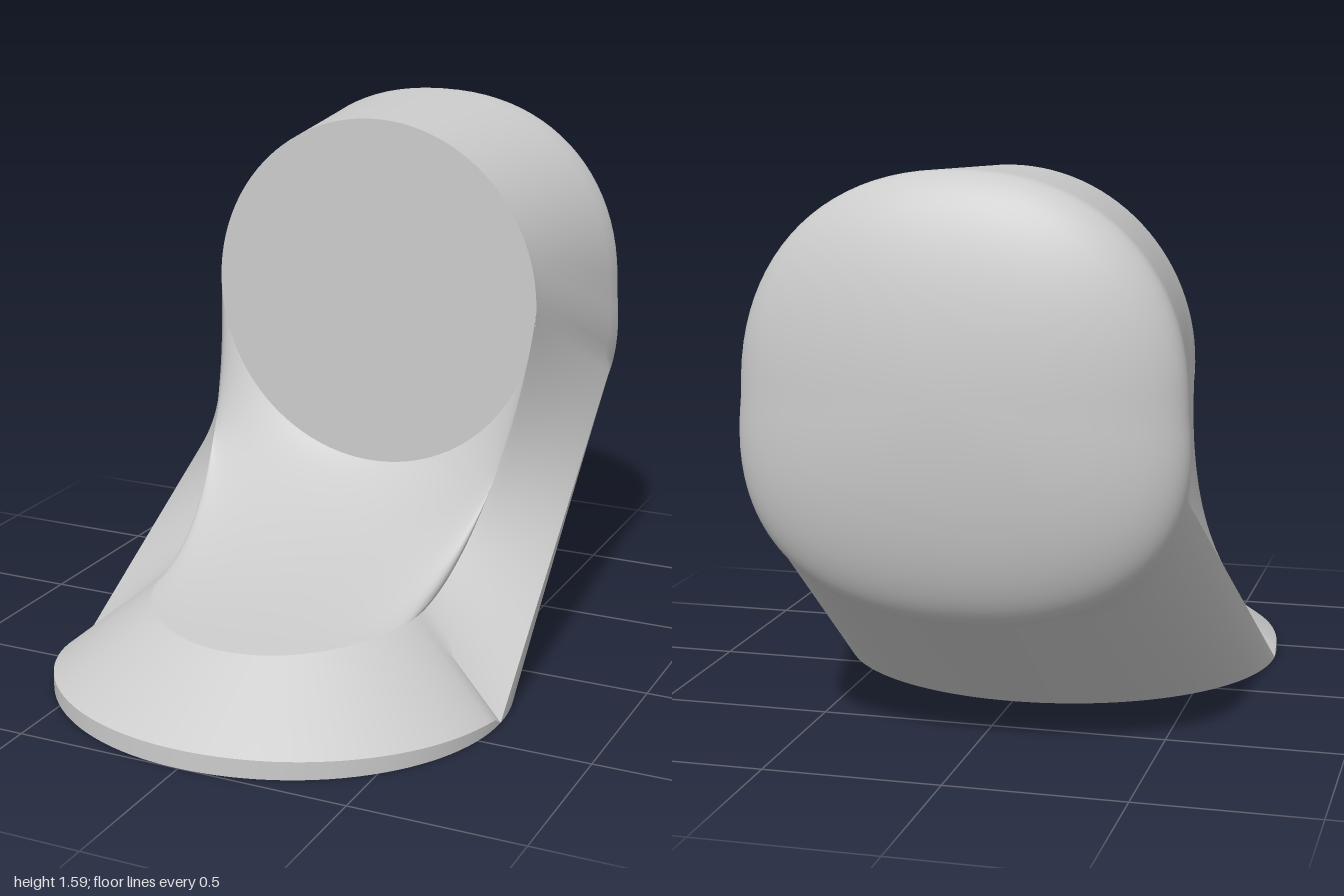
import * as THREE from 'three';
import { mergeGeometries, mergeVertices, toCreasedNormals } from 'three/addons/utils/BufferGeometryUtils.js';

const V = (x, y, z) => new THREE.Vector3(x, y, z);
const N = 28;
const HALF = Math.PI / 2;
const SIDE = -0.35; // angle on the head rim where the side crease ends

// sample fn(a..b) in N steps
const sample = (fn, a, b) => Array.from({ length: N + 1 }, (_, i) => fn(a + (b - a) * i / N));
const join = (...parts) => parts.flatMap((p, i) => (i ? p.slice(1) : p));
// turn a right-hand half curve (starting on the middle plane) into the full curve
const mirror = half => [...half.slice(1).reverse().map(p => V(-p.x, p.y, p.z)), ...half];
// rows blended straight from curve a to curve b
const ruled = (a, b, steps) => Array.from({ length: steps + 1 }, (_, r) =>
  a.map((p, i) => p.clone().lerp(b[i], r / steps)));

// surface through rows of points
function grid(rows) {
  const pos = [];
  const tri = (a, b, c) => {
    if (a.distanceTo(b) < 1e-5 || b.distanceTo(c) < 1e-5 || c.distanceTo(a) < 1e-5) return;
    for (const p of [a, b, c]) pos.push(p.x, p.y, p.z);
  };
  for (let r = 0; r + 1 < rows.length; r++) {
    for (let c = 0; c + 1 < rows[r].length; c++) {
      const [a, b, d, e] = [rows[r][c], rows[r][c + 1], rows[r + 1][c + 1], rows[r + 1][c]];
      tri(a, b, d);
      tri(a, d, e);
    }
  }
  const geo = new THREE.BufferGeometry();
  geo.setAttribute('position', new THREE.Float32BufferAttribute(pos, 3));
  return geo;
}

// base outline, with a low vertical lip that fades out at the sides
const base = t => V(0.685 * Math.sin(t), 0, 0.365 + 0.635 * Math.cos(t));
const lip = t => base(t).setY(0.055 * Math.pow(Math.max(0, Math.cos(t)), 0.3));

// rounded outline of the head, a little wider below its middle
const pw = v => Math.sign(v) * Math.pow(Math.abs(v), 0.9);
const rim = a => V(
  0.608 * pw(Math.cos(a)) * (1 + 0.15 * Math.max(0, -Math.sin(a))),
  0.985 + 0.605 * pw(Math.sin(a)), -0.8);

// front edge of the scoop and outline of the flat face
const scoopFront = t => V(0.41 * Math.sin(t), 0.235 + 0.025 * Math.sin(t) ** 2, 0.3 + 0.43 * Math.cos(t));
const face = a => V(0.53 * Math.cos(a), 1.03 + 0.54 * Math.sin(a), -0.272);

// curve on the scoop floor from its front edge up to the face
function floorCurve(t) {
  const u = scoopFront(t), f = face(t - HALF), mid = Math.cos(t);
  return new THREE.CubicBezierCurve3(u,
    V(u.x * 1.06, u.y + 0.03, u.z + (f.z - u.z) * 0.5),
    V(f.x * 0.95, f.y + (u.y - f.y) * 0.45, f.z + 0.03 + 0.1 * mid), f);
}

export function createModel() {
  const group = new THREE.Group();
  const material = new THREE.MeshStandardMaterial({ color: 0xcccccc });
  const add = (name, geos) => {
    const geo = mergeVertices(mergeGeometries(geos), 1e-4);
    const mesh = new THREE.Mesh(toCreasedNormals(geo, 0.5), material);
    mesh.name = name;
    group.add(mesh);
  };

  // outer edge: lip, slanting side crease, head rim
  const crease = sample(t => base(HALF).lerp(rim(SIDE), t), 0, 1);
  const outer = mirror(join(sample(lip, 0, HALF), crease, sample(rim, SIDE, HALF)));
  // inner edge: scoop front, scoop side, top of the face
  const sideCurve = floorCurve(HALF);
  const inner = mirror(join(sample(scoopFront, 0, HALF),
    sample(t => sideCurve.getPoint(t), 0, 1), sample(face, 0, HALF)));

  // sloping band, lip and slanted underside
  const lipBand = ruled(mirror(sample(base, 0, HALF)), mirror(sample(lip, 0, HALF)), 1);
  const under = ruled(mirror(sample(rim, -HALF, SIDE)), mirror(sample(base, Math.PI, HALF)), 10);

  // shallow dome on the back of the head
  const headRim = mirror(join(sample(rim, -HALF, SIDE), sample(rim, SIDE, HALF)));
  const dome = sample(u => headRim.map(p => V(
    p.x * Math.sin(u), 1 + (p.y - 1) * Math.sin(u), -0.8 - 0.2 * Math.cos(u))), 0, HALF);
  add('body', [ruled(outer, inner, 10), lipBand, under, dome].map(grid));

  // curved floor of the scoop
  const floorCurves = sample(floorCurve, 0, HALF);
  add('scoopFloor', [grid(sample(t => mirror(floorCurves.map(c => c.getPoint(t))), 0, 1))]);

  // flat face on the head
  const faceEdge = mirror(join(sample(face, -HALF, 0), sample(face, 0, HALF)));
  add('frontFace', [grid([faceEdge, faceEdge.map(() => V(0, 1.03, -0.272))])]);

  // flat sole
  const soleEdge = mirror(join(sample(base, 0, HALF), sample(base, HALF, Math.PI)));
  add('sole', [grid([soleEdge.map(() => V(0, 0, 0.365)), soleEdge])]);

  return group;
}
